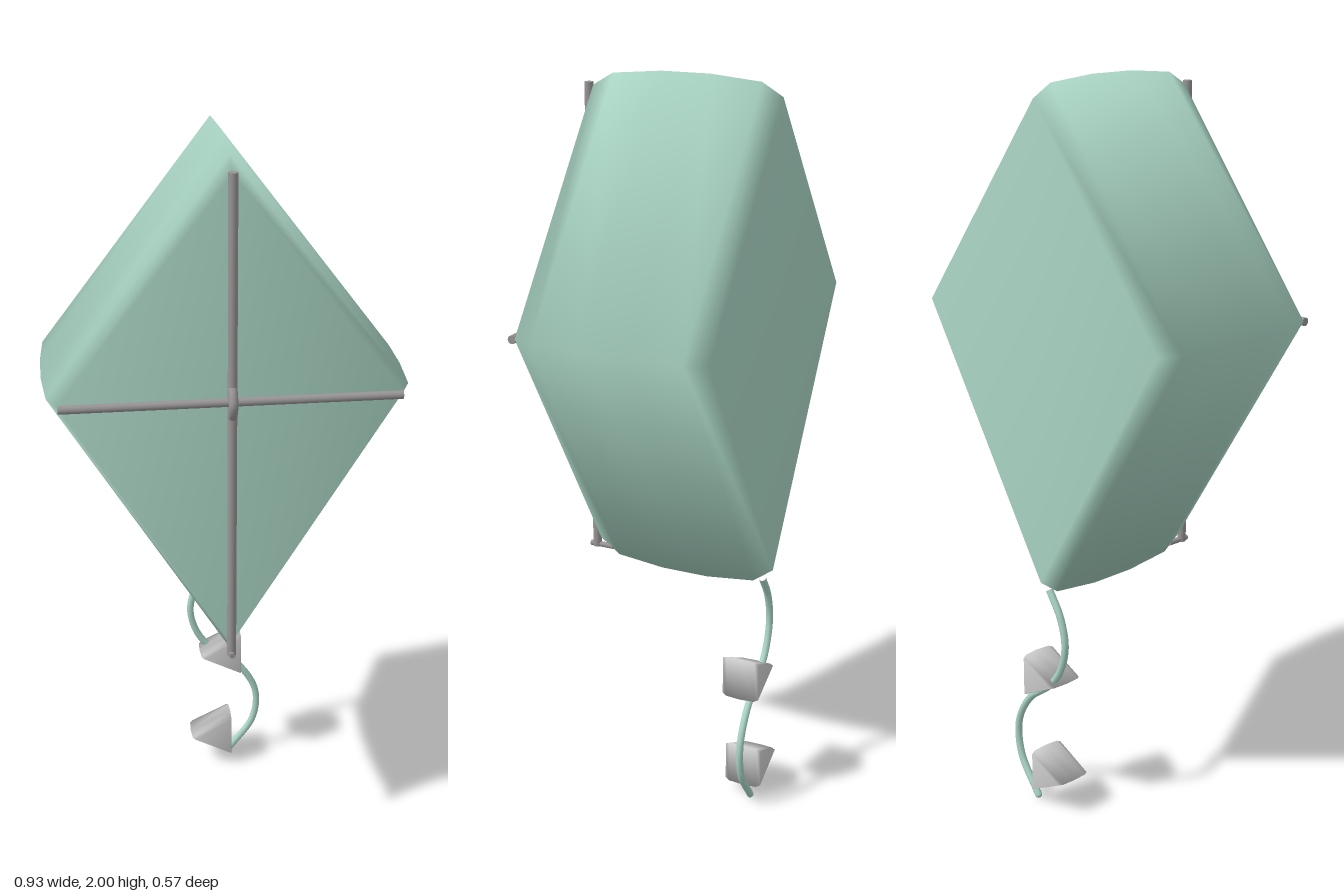
import * as THREE from 'three';

const mint = new THREE.MeshStandardMaterial({ color: 0xaad5c4 });
const rodGrey = new THREE.MeshStandardMaterial({ color: 0x999596 });
const grey = new THREE.MeshStandardMaterial({ color: 0xcccccc });

function add(group, name, geometry, material) {
  const mesh = new THREE.Mesh(geometry, material);
  mesh.name = name;
  group.add(mesh);
  return mesh;
}

// Closed, smooth solid: an outline (counter-clockwise from the front) scaled about
// a centre at each [z, scale] ring, listed from back to front.
function loft(outline, [cx, cy], rings) {
  const n = outline.length;
  const positions = [];
  const index = [];
  for (const [z, s] of rings) {
    for (const [x, y] of outline) positions.push(cx + (x - cx) * s, cy + (y - cy) * s, z);
  }
  for (let r = 0; r < rings.length - 1; r++) {
    for (let i = 0; i < n; i++) {
      const a = r * n + i, b = r * n + (i + 1) % n;
      index.push(a, b, b + n, a, b + n, a + n);
    }
  }
  const front = (rings.length - 1) * n;
  for (let i = 1; i < n - 1; i++) {
    index.push(front, front + i, front + i + 1, 0, i + 1, i);
  }
  const geometry = new THREE.BufferGeometry();
  geometry.setAttribute('position', new THREE.Float32BufferAttribute(positions, 3));
  geometry.setIndex(index);
  geometry.computeVertexNormals();
  return geometry;
}

// Smooth tube through points, with both ends capped
function cord(points, radius, segments) {
  const curve = new THREE.CatmullRomCurve3(points.map((p) => new THREE.Vector3(...p)));
  return new THREE.TubeGeometry(curve, segments, radius, 10, false);
}

export function createModel() {
  const kite = new THREE.Group();
  kite.name = 'kite';

  // Thick diamond sail, softened at front and back
  const diamond = [[0, 2], [-0.467, 1.39], [0, 0.632], [0.467, 1.39]];
  add(kite, 'sail', loft(diamond, [0, 1.39], [
    [-0.285, 0.925], [-0.228, 0.98], [-0.09, 1], [0.045, 1], [0.183, 0.98], [0.24, 0.925],
  ]), mint);

  // Crossed spars on the front
  const upright = add(kite, 'uprightSpar', new THREE.CylinderGeometry(0.012, 0.012, 1.3, 14), rodGrey);
  upright.position.set(0, 1.312, 0.252);
  const cross = add(kite, 'crossSpar', new THREE.CylinderGeometry(0.011, 0.011, 0.86, 14), rodGrey);
  cross.rotation.z = Math.PI / 2;
  cross.position.set(0, 1.387, 0.25);

  // Lashing looped over the crossing, and a peg at the foot of the upright
  add(kite, 'lashing', cord([
    [0, 1.345, 0.25], [0, 1.365, 0.266], [0, 1.387, 0.274], [0, 1.409, 0.266], [0, 1.429, 0.25],
  ], 0.012, 16), rodGrey);
  const peg = add(kite, 'footPeg', new THREE.CylinderGeometry(0.008, 0.008, 0.07, 10), rodGrey);
  peg.rotation.x = Math.PI / 2;
  peg.position.set(0, 0.668, 0.236);

  // Wavy tail hanging from the back of the sail
  const tailZ = -0.255;
  const tail = [
    [0, 0.66], [-0.043, 0.59], [-0.06, 0.51], [-0.038, 0.43], [0.01, 0.37],
    [0.09, 0.305], [0.138, 0.215], [0.13, 0.115], [0.06, 0.012],
  ].map(([x, y]) => [x, y, tailZ]);
  add(kite, 'tail', cord(tail, 0.01, 64), mint);
  add(kite, 'tailEnd', new THREE.SphereGeometry(0.01, 10, 8), mint).position.set(...tail[8]);

  // Triangular tail bows with softened ends
  const bowRings = [[-0.282, 0.88], [-0.27, 0.97], [-0.229, 1], [-0.188, 0.97], [-0.176, 0.88]];
  const bows = [
    [[0.086, 0.446], [-0.036, 0.385], [0.086, 0.322]],
    [[0.058, 0.16], [-0.065, 0.1], [0.058, 0.035]],
  ];
  bows.forEach((outline, i) => {
    const centre = [0, 1].map((k) => (outline[0][k] + outline[1][k] + outline[2][k]) / 3);
    add(kite, `tailBow${i + 1}`, loft(outline, centre, bowRings), grey);
  });

  return kite;
}
